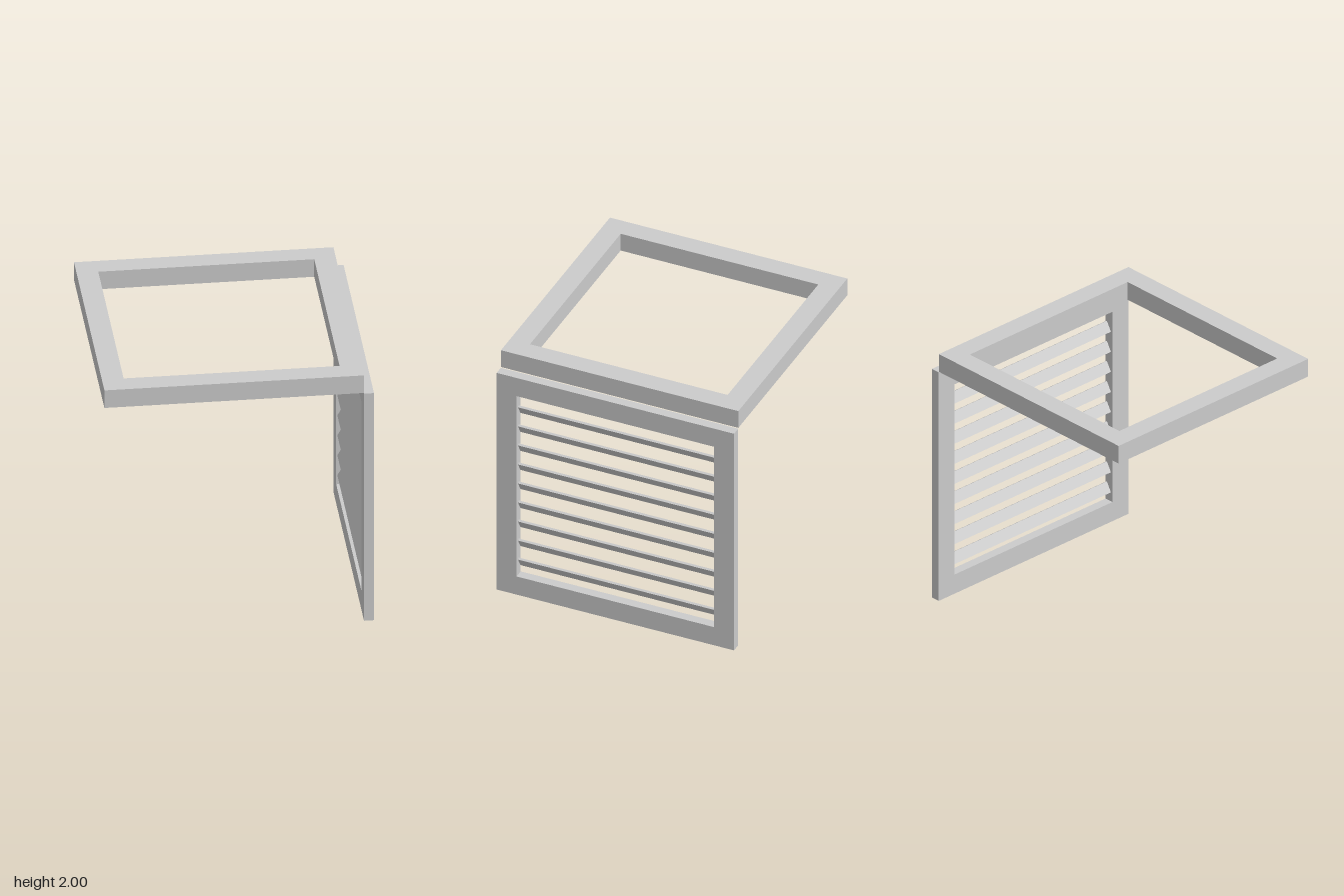
import * as THREE from 'three';

const material = new THREE.MeshStandardMaterial({ color: 0xcccccc, flatShading: true });

// Square frame in the XY plane, extruded along z and centred on the origin
function frame(name, size, border, depth) {
  const square = (Type, h) => new Type([
    new THREE.Vector2(-h, -h), new THREE.Vector2(h, -h),
    new THREE.Vector2(h, h), new THREE.Vector2(-h, h),
  ]);
  const shape = square(THREE.Shape, size / 2);
  shape.holes.push(square(THREE.Path, size / 2 - border));
  const geometry = new THREE.ExtrudeGeometry(shape, { depth, bevelEnabled: false });
  geometry.translate(0, 0, -depth / 2);
  const mesh = new THREE.Mesh(geometry, material);
  mesh.name = name;
  return mesh;
}

export function createModel() {
  const group = new THREE.Group();
  group.name = 'louverShutter';

  // Horizontal frame at the top
  const topFrame = frame('topFrame', 1.85, 0.155, 0.143);
  topFrame.rotation.x = -Math.PI / 2;
  topFrame.position.set(-0.037, 1.9285, 0);
  group.add(topFrame);

  // Upright shutter hanging below its left edge
  const shutter = new THREE.Group();
  shutter.name = 'shutter';
  shutter.position.x = 0.925;
  const shutterFrame = frame('shutterFrame', 1.85, 0.155, 0.071);
  shutterFrame.rotation.y = Math.PI / 2;
  shutterFrame.position.y = 0.926;
  shutter.add(shutterFrame);

  // Tilted slats, upper edge leaning outwards
  const slatGeometry = new THREE.BoxGeometry(0.017, 0.083, 1.525);
  for (let i = 0; i < 9; i++) {
    const slat = new THREE.Mesh(slatGeometry, material);
    slat.name = `slat${i + 1}`;
    slat.position.y = 0.266 + i * 0.1625;
    slat.rotation.z = -Math.PI / 6;
    shutter.add(slat);
  }
  group.add(shutter);
  return group;
}
